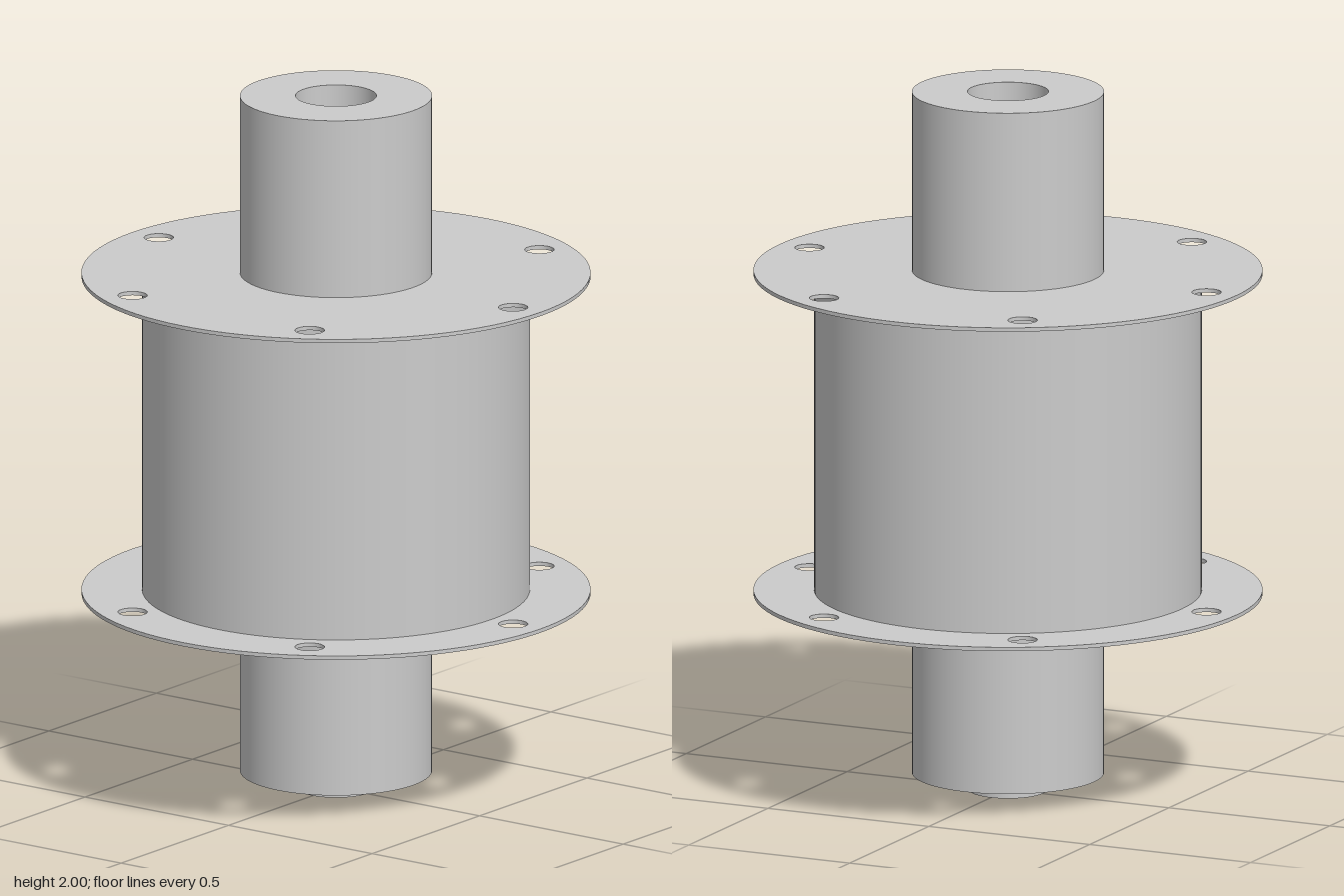
import * as THREE from 'three';

const SEG = 96;

// Lathe from [radius, y] points; each straight run gets its own vertices so edges stay sharp
function turned(points) {
  const sharp = [];
  points.forEach(([r, y], i) => {
    sharp.push(new THREE.Vector2(r, y));
    if (i > 0 && i < points.length - 1) sharp.push(new THREE.Vector2(r, y));
  });
  const geo = new THREE.LatheGeometry(sharp, SEG);
  // Exact normals per run: perpendicular to the profile segment
  const pos = geo.attributes.position, nor = geo.attributes.normal, n = sharp.length;
  for (let i = 0; i < pos.count; i++) {
    const start = (i % n) - (i % 2);
    const d = sharp[start + 1].clone().sub(sharp[start]).normalize();
    const a = Math.floor(i / n) / SEG * Math.PI * 2;
    nor.setXYZ(i, d.y * Math.sin(a), -d.x, d.y * Math.cos(a));
  }
  return geo;
}

// Thin disc with a centre opening and a ring of bolt holes
function flangeGeometry(radius, bore, thickness) {
  const shape = new THREE.Shape().absarc(0, 0, radius, 0, Math.PI * 2);
  shape.holes.push(new THREE.Path().absarc(0, 0, bore, 0, Math.PI * 2, true));
  for (let i = 0; i < 6; i++) {
    const a = i * Math.PI / 3;
    shape.holes.push(new THREE.Path().absarc(0.617 * Math.cos(a), 0.617 * Math.sin(a), 0.041, 0, Math.PI * 2, true));
  }
  return new THREE.ExtrudeGeometry(shape, { depth: thickness, bevelEnabled: false, curveSegments: 48 })
    .rotateX(-Math.PI / 2);
}

export function createModel() {
  const group = new THREE.Group();
  const material = new THREE.MeshStandardMaterial({ color: 0xcccccc });
  const add = (name, geometry, y = 0) => {
    const mesh = new THREE.Mesh(geometry, material);
    mesh.name = name;
    mesh.position.y = y;
    group.add(mesh);
  };

  // Hollow hub running the full height
  add('hubTube', turned([[0.113, 0.05], [0.268, 0.05], [0.268, 2], [0.113, 2], [0.113, 0.05]]));

  // Wide drum between the flanges
  add('drum', turned([[0.268, 0.574], [0.541, 0.574], [0.541, 1.478], [0.268, 1.478]]));

  // Bolt flanges at both ends of the drum
  const flange = flangeGeometry(0.71, 0.26, 0.011);
  add('lowerFlange', flange, 0.563);
  add('upperFlange', flange, 1.478);

  // Shaft inside the bore, protruding at the bottom
  add('shaft', new THREE.CylinderGeometry(0.108, 0.108, 1, SEG), 0.5);

  return group;
}
